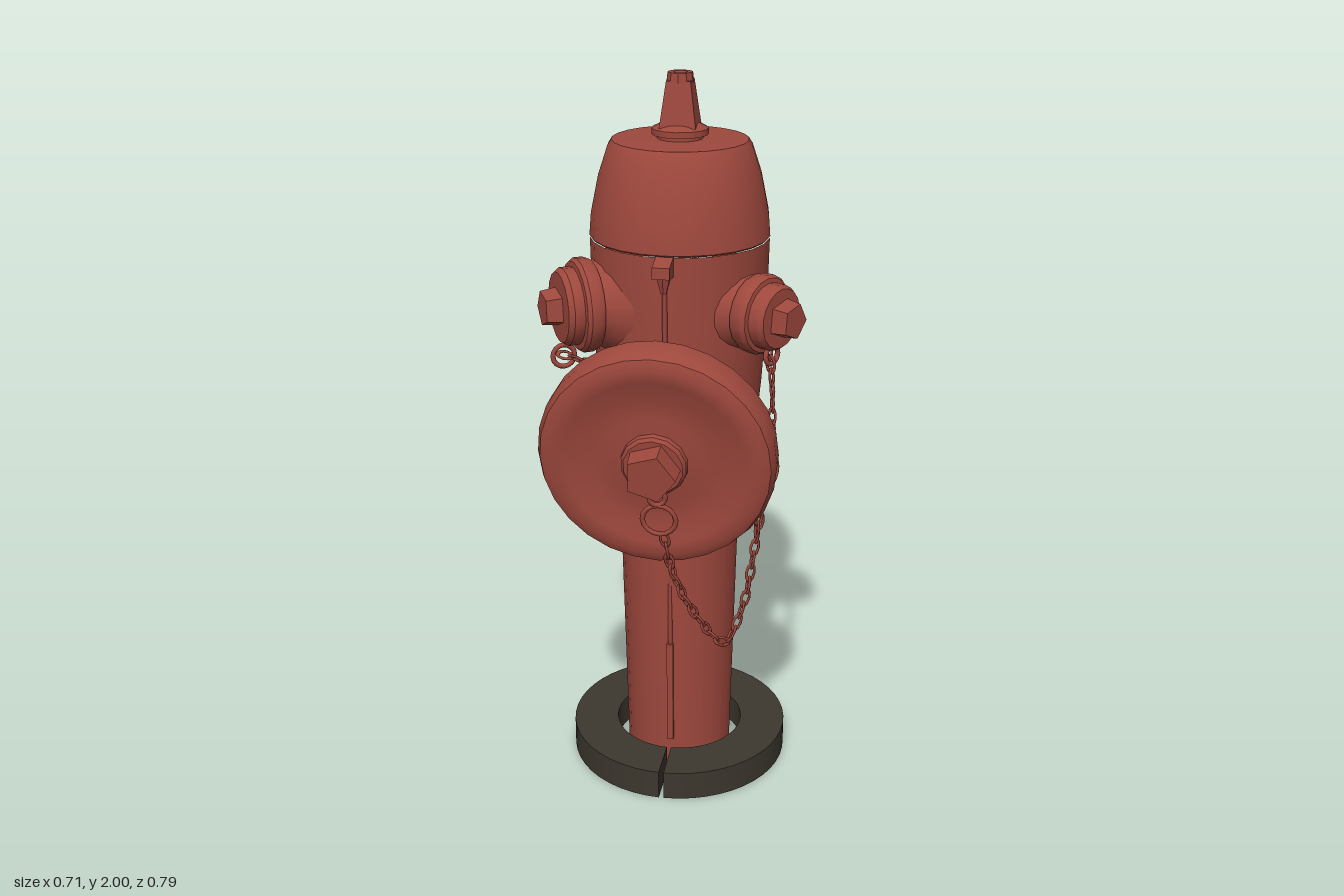
import * as THREE from 'three';
import { toCreasedNormals } from 'three/addons/utils/BufferGeometryUtils.js';

const V = (x, y, z) => new THREE.Vector3(x, y, z);
const UP = V(0, 1, 0);
const CX = 0.01, CZ = -0.08; // barrel axis

export function createModel() {
  const red = new THREE.MeshStandardMaterial({ color: 0x9e483d });
  red.name = 'hydrant red';
  const dark = new THREE.MeshStandardMaterial({ color: 0x3c372e });
  dark.name = 'dark base';

  const model = new THREE.Group();
  model.name = 'hydrant';

  function add(parent, name, geometry, material = red) {
    const mesh = new THREE.Mesh(geometry, material);
    mesh.name = name;
    parent.add(mesh);
    return mesh;
  }
  // Turned part: [radius, height] pairs from bottom to top
  function turned(parent, name, points, sides = 24) {
    const g = new THREE.LatheGeometry(points.map(([r, y]) => new THREE.Vector2(r, y)), sides);
    return add(parent, name, toCreasedNormals(g, 0.6));
  }
  function prism(parent, name, rTop, rBottom, h, sides, y) {
    const g = toCreasedNormals(new THREE.CylinderGeometry(rTop, rBottom, h, sides), 0.6);
    const mesh = add(parent, name, g);
    mesh.position.y = y;
    return mesh;
  }
  // Group whose y axis points along dir
  function aimed(name, position, dir) {
    const g = new THREE.Group();
    g.name = name;
    g.position.copy(position);
    g.quaternion.setFromUnitVectors(UP, dir.clone().normalize());
    model.add(g);
    return g;
  }

  // Split base ring
  const gap = 0.022;
  for (const side of [-1, 1]) {
    const ring = new THREE.Shape();
    const start = -Math.PI / 2 + gap, end = Math.PI / 2 - gap;
    ring.absarc(0, 0, 0.315, start, end, false);
    ring.absarc(0, 0, 0.185, end - 0.01, start + 0.01, true);
    const g = new THREE.ExtrudeGeometry(ring, { depth: 0.085, bevelEnabled: false, curveSegments: 12 });
    g.rotateX(-Math.PI / 2);
    const half = add(model, side > 0 ? 'leftBaseHalf' : 'rightBaseHalf', toCreasedNormals(g, 0.6), dark);
    half.position.set(CX, 0, CZ);
    half.rotation.y = side > 0 ? 0 : Math.PI;
  }

  // Barrel, bonnet and top nut
  const barrel = new THREE.Group();
  barrel.name = 'barrel';
  barrel.position.set(CX, 0, CZ);
  model.add(barrel);
  turned(barrel, 'standpipe', [[0, 0.01], [0.152, 0.01], [0.168, 0.76], [0.168, 0.8]]);
  turned(barrel, 'upperBody', [[0.165, 0.755], [0.186, 0.775], [0.192, 0.85], [0.21, 1.0], [0.226, 1.18],
    [0.236, 1.36], [0.24, 1.575]]);
  turned(barrel, 'bonnet', [[0.236, 1.575], [0.241, 1.58], [0.236, 1.64], [0.215, 1.74], [0.19, 1.815],
    [0.18, 1.83], [0, 1.832]]);
  turned(barrel, 'topFlange', [[0.06, 1.825], [0.06, 1.84], [0.075, 1.842], [0.075, 1.858], [0.05, 1.87], [0, 1.87]], 14);
  const topNut = prism(barrel, 'topNut', 0.045, 0.068, 0.12, 4, 1.92);
  topNut.rotation.y = Math.PI / 4;
  turned(barrel, 'topNutTip', [[0.036, 1.975], [0.033, 2.0], [0.018, 2.0], [0.014, 1.99], [0, 1.99]], 10);

  // Casting seams at front and back
  for (const side of [-1, 1]) {
    const path = new THREE.CatmullRomCurve3([
      [0.152, 0.1], [0.16, 0.42], [0.167, 0.74], [0.188, 0.79], [0.21, 1.0], [0.226, 1.18], [0.236, 1.36], [0.24, 1.57],
    ].map(([r, y]) => V(0, y, side * r)));
    add(barrel, side > 0 ? 'frontSeam' : 'backSeam', new THREE.TubeGeometry(path, 24, 0.007, 5));
  }
  const strip = add(barrel, 'frontStrip', new THREE.BoxGeometry(0.018, 0.32, 0.02));
  strip.position.set(0, 0.26, 0.157);
  strip.rotation.x = 0.02;
  const rod = prism(barrel, 'backRod', 0.009, 0.009, 0.5, 6, 0.35);
  rod.position.z = -0.165;
  rod.rotation.x = -0.02;
  for (const y of [0.14, 0.43, 0.56, 0.6]) {
    const boss = add(barrel, 'backBoss', new THREE.SphereGeometry(0.016, 8, 6));
    boss.position.set(0, y, -0.156 - y * 0.022);
  }

  // Front lug below the bonnet
  const lug = new THREE.Shape([[0, 0], [0.065, 0.01], [0.065, 0.04], [0, 0.055]].map(([a, b]) => new THREE.Vector2(a, b)));
  const lugGeo = new THREE.ExtrudeGeometry(lug, { depth: 0.045, bevelEnabled: false });
  lugGeo.translate(0, 0, -0.0225).rotateY(-Math.PI / 2);
  add(barrel, 'frontLug', lugGeo).position.set(0, 1.523, 0.228);
  const lugStem = prism(barrel, 'frontLugStem', 0.022, 0.008, 0.05, 6, 1.51);
  lugStem.position.z = 0.25;

  // Pierced eye on the back
  const eye = new THREE.Shape([[-0.02, -0.11], [0.015, -0.08], [0.058, -0.02], [0.058, 0.02], [0.015, 0.07], [-0.02, 0.1]]
    .map(([a, b]) => new THREE.Vector2(a, b)));
  const hole = new THREE.Path();
  hole.absarc(0.028, 0, 0.016, 0, Math.PI * 2, true);
  eye.holes.push(hole);
  const eyeGeo = new THREE.ExtrudeGeometry(eye, { depth: 0.02, bevelEnabled: false, curveSegments: 6 });
  eyeGeo.translate(0, 0, -0.01).rotateY(Math.PI / 2);
  add(barrel, 'backEye', eyeGeo).position.set(0, 1.345, -0.236);

  // Large tilted front outlet; height 0 is the face of its cap
  const outlet = aimed('frontOutlet', V(CX, 1.075, 0.32), V(0, -0.15, 1));
  turned(outlet, 'outletNeck', [[0.15, -0.38], [0.175, -0.3], [0.2, -0.22], [0.235, -0.17], [0.265, -0.15],
    [0.284, -0.135], [0.287, -0.11], [0.27, -0.085]], 28);
  turned(outlet, 'outletCap', [[0.25, -0.1], [0.295, -0.1], [0.31, -0.09], [0.312, -0.035], [0.3, -0.006],
    [0.275, 0.006], [0.24, 0.002], [0.19, -0.014], [0.13, -0.014], [0.09, -0.008], [0, -0.006]], 28);
  turned(outlet, 'outletHub', [[0.09, -0.02], [0.086, 0.006], [0.078, 0.014], [0, 0.014]], 14);
  prism(outlet, 'outletNut', 0.068, 0.072, 0.06, 5, 0.04).rotation.y = 0.3;

  // Two smaller side outlets
  for (const [side, s] of [[-1, 1], [1, 0.84]]) {
    const name = side > 0 ? 'left' : 'right';
    const o = aimed(name + 'Outlet', V(CX, 1.41, CZ), V(side * 0.86, 0, 0.51));
    turned(o, 'sideNeck', [[0.17, 0.14], [0.145, 0.19], [0.122, 0.225], [0.11, 0.25], [0.11, 0.265]].map(([r, y]) => [r * s, y]), 18);
    turned(o, 'sideCap', [[0.1, 0.25], [0.12, 0.25], [0.126, 0.262], [0.126, 0.288], [0.118, 0.298], [0.104, 0.3],
      [0.104, 0.328], [0.094, 0.342], [0, 0.344]].map(([r, y]) => [r * s, y]), 18);
    prism(o, 'sideNut', 0.048, 0.054, 0.044, 5, 0.364);
  }

  // Chains of alternating links, with rings at their ends
  const linkGeo = new THREE.TorusGeometry(0.011, 0.0038, 5, 10).scale(1, 2, 1);
  function chain(name, points) {
    const curve = new THREE.CatmullRomCurve3(points.map(p => V(...p)));
    const count = Math.round(curve.getLength() / 0.037);
    const g = new THREE.Group();
    g.name = name;
    model.add(g);
    for (let i = 0; i <= count; i++) {
      const link = add(g, 'link', linkGeo);
      link.position.copy(curve.getPointAt(i / count));
      link.quaternion.setFromUnitVectors(UP, curve.getTangentAt(i / count));
      link.rotateY(i % 2 ? 0.4 : 0.4 + Math.PI / 2);
    }
  }
  function ring(name, r, [x, y, z], rx, ry) {
    const mesh = add(model, name, new THREE.TorusGeometry(r, 0.007, 6, 16));
    mesh.position.set(x, y, z);
    mesh.rotation.set(rx, ry, 0);
  }
  chain('frontCapChain', [[0.035, 0.86, 0.305], [0.05, 0.76, 0.28], [0.1, 0.62, 0.24], [0.18, 0.5, 0.18],
    [0.225, 0.6, 0.15], [0.25, 0.76, 0.125], [0.275, 0.95, 0.1]]);
  chain('leftOutletChain', [[0.275, 1.32, 0.09], [0.285, 1.2, 0.09], [0.285, 1.03, 0.1]]);
  chain('rightOutletChain', [[-0.27, 1.28, 0.1], [-0.14, 1.27, 0.145], [0.05, 1.315, 0.185], [0.18, 1.28, 0.185],
    [0.26, 1.15, 0.17], [0.275, 1.0, 0.165], [0.26, 0.84, 0.16]]);
  ring('frontCapRing', 0.044, [0.022, 0.92, 0.315], 0.15, 0);
  ring('frontCapEyelet', 0.02, [0.02, 0.985, 0.325], 0.15, 0.3);
  ring('chainRing', 0.04, [0.285, 0.985, 0.105], 0, 1.2);
  ring('leftOutletRing', 0.025, [0.28, 1.31, 0.09], 0, 1.0);
  ring('rightOutletRing', 0.03, [-0.275, 1.275, 0.09], 0, 0.5);

  return model;
}
